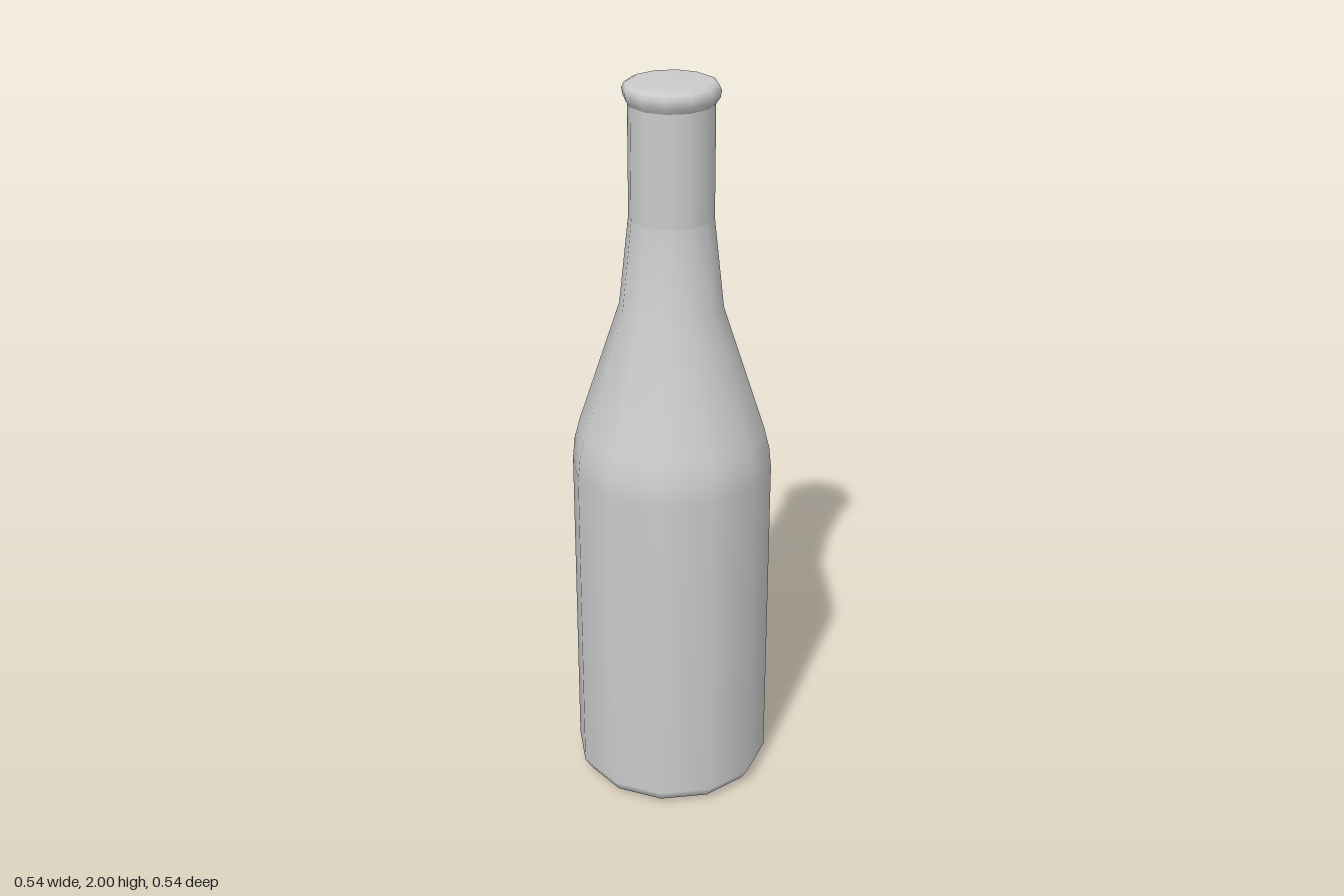
import * as THREE from 'three';

const SIDES = 12;

// Revolves a [radius, height] profile, listed bottom to top
function turned(name, profile, material) {
  const points = profile.map(([r, y]) => new THREE.Vector2(r, y));
  const mesh = new THREE.Mesh(new THREE.LatheGeometry(points, SIDES), material);
  mesh.name = name;
  return mesh;
}

export function createModel() {
  const bottle = new THREE.Group();
  bottle.name = 'bottle';
  const material = new THREE.MeshStandardMaterial({ color: 0xcccccc });

  // Flat base with a rounded rim, straight walls and tapering shoulder
  bottle.add(turned('body', [
    [0, 0], [0.215, 0], [0.25, 0.012], [0.27, 0.045],
    [0.27, 0.95], [0.264, 1.01], [0.25, 1.065],
    [0.137, 1.41], [0.111, 1.65],
  ], material));

  // Straight neck
  bottle.add(turned('neck', [[0.111, 1.65], [0.111, 1.945]], material));

  // Flared lip closed by a flat top
  bottle.add(turned('lip', [
    [0.111, 1.945], [0.122, 1.962], [0.125, 1.98],
    [0.118, 1.994], [0.105, 2], [0, 2],
  ], material));

  return bottle;
}
